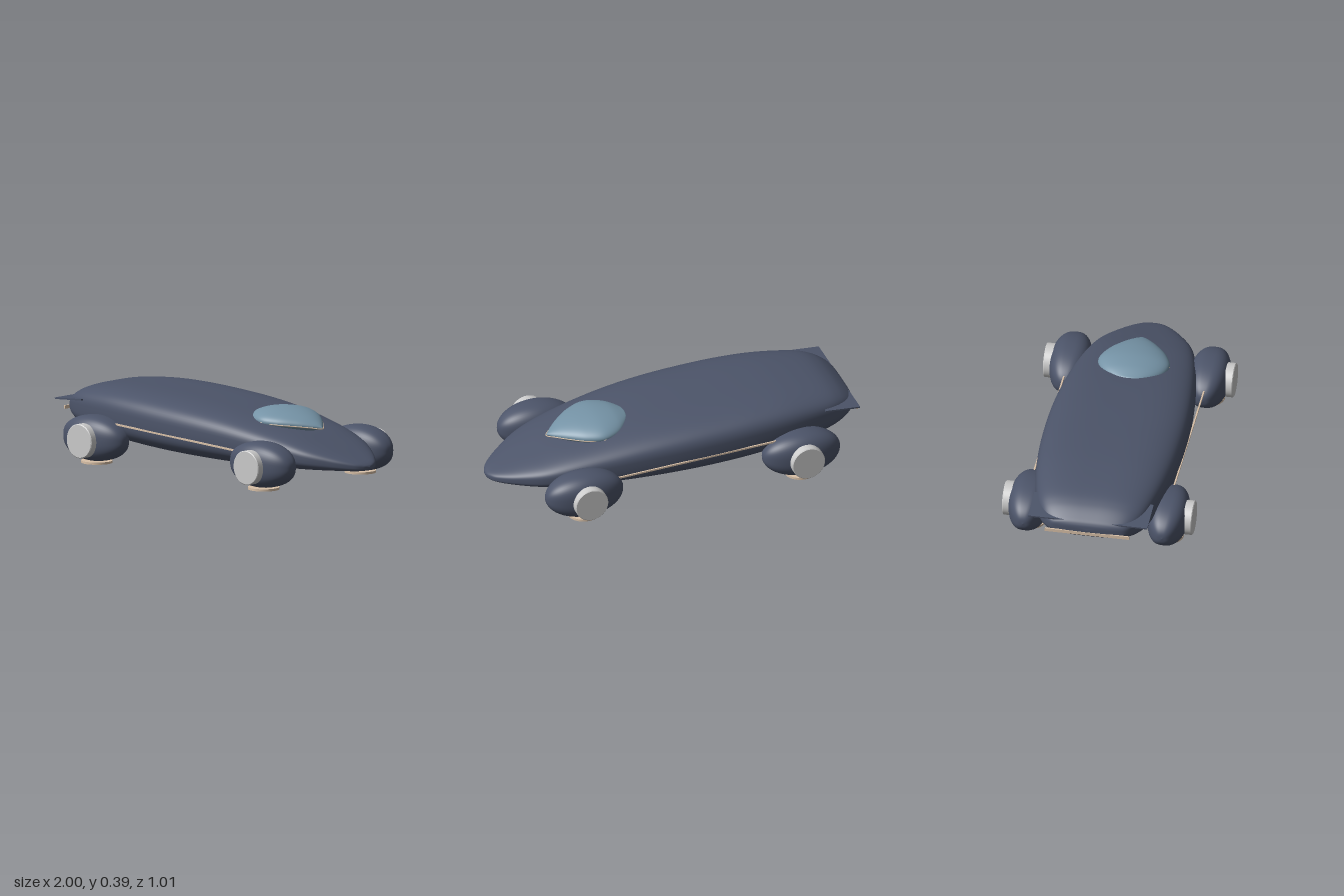
import * as THREE from 'three';

const mat = (name, color, side = THREE.FrontSide) => {
  const m = new THREE.MeshStandardMaterial({ color, side });
  m.name = name;
  return m;
};

// Smooth skin through stations [x, top, bottom, halfWidth] with superellipse sections
function loft(stations, power, steps = 64, around = 64) {
  const spine = new THREE.CatmullRomCurve3(stations.map(s => new THREE.Vector3(s[0], s[1], s[2])), false, 'catmullrom');
  const width = new THREE.CatmullRomCurve3(stations.map(s => new THREE.Vector3(s[3], 0, 0)), false, 'catmullrom');
  const pos = [], idx = [];
  const bend = v => Math.sign(v) * Math.abs(v) ** (2 / power);
  for (let i = 0; i <= steps; i++) {
    const p = spine.getPoint(i / steps), w = Math.max(0, width.getPoint(i / steps).x);
    const mid = (p.y + p.z) / 2, half = (p.y - p.z) / 2;
    for (let j = 0; j < around; j++) {
      const a = j / around * Math.PI * 2;
      pos.push(p.x, mid + half * bend(Math.sin(a)), w * bend(Math.cos(a)));
      if (i === steps) continue;
      const k = (j + 1) % around, r = i * around, n = r + around;
      idx.push(r + j, n + j, r + k, n + j, n + k, r + k);
    }
  }
  const g = new THREE.BufferGeometry();
  g.setAttribute('position', new THREE.Float32BufferAttribute(pos, 3));
  g.setIndex(idx);
  g.computeVertexNormals();
  return g;
}

export function createModel() {
  const car = new THREE.Group();
  car.name = 'streamlinedCar';
  const paint = mat('slatePaint', 0x4c5469);
  const glass = mat('canopyGlass', 0x7593a6);
  const hub = mat('hubGrey', 0xcbcbcb);
  const tan = mat('tanTrim', 0xd9c1a8);

  const add = (name, geometry, material, x = 0, y = 0, z = 0) => {
    const m = new THREE.Mesh(geometry, material);
    m.name = name;
    m.position.set(x, y, z);
    car.add(m);
    return m;
  };

  // Body shell, nose toward +x
  add('body', loft([
    [-1, 0.258, 0.25, 0], [-0.993, 0.285, 0.225, 0.15], [-0.97, 0.31, 0.2, 0.215],
    [-0.9, 0.352, 0.162, 0.268], [-0.8, 0.378, 0.135, 0.306], [-0.6, 0.395, 0.11, 0.346],
    [-0.4, 0.395, 0.095, 0.367], [-0.2, 0.386, 0.085, 0.374], [0, 0.372, 0.08, 0.371],
    [0.2, 0.35, 0.078, 0.356], [0.4, 0.316, 0.08, 0.33], [0.6, 0.272, 0.086, 0.291],
    [0.75, 0.226, 0.092, 0.243], [0.88, 0.181, 0.097, 0.16], [0.96, 0.151, 0.1, 0.088],
    [0.99, 0.135, 0.105, 0.04], [1, 0.122, 0.118, 0]
  ], 3.2, 128, 80), paint);

  // Teardrop canopy
  const drop = [
    [0.22, 0.346, 0.342, 0], [0.235, 0.353, 0.32, 0.07], [0.3, 0.371, 0.27, 0.155],
    [0.39, 0.376, 0.254, 0.19], [0.48, 0.364, 0.254, 0.162], [0.56, 0.342, 0.264, 0.103],
    [0.62, 0.315, 0.276, 0.045], [0.657, 0.291, 0.287, 0]
  ];
  add('canopy', loft(drop, 2), glass);

  // Thin trim around the canopy's pointed end
  const rim = drop.slice(3).map(s => new THREE.Vector3(s[0], (s[1] + s[2]) / 2 - 0.005, s[3]));
  const mirrored = rim.slice(0, -1).reverse().map(v => new THREE.Vector3(v.x, v.y, -v.z));
  add('canopyTrim', new THREE.TubeGeometry(new THREE.CatmullRomCurve3([...rim, ...mirrored]), 60, 0.003, 6), tan);

  // Wheel fairings, hub discs and ground contact pads
  const egg = [];
  for (let i = 0; i <= 12; i++) {
    const a = i / 12 * Math.PI, s = Math.sin(a);
    egg.push([-0.215 * Math.cos(a), 0.121 * s, -0.121 * s, 0.108 * s]);
  }
  const fairing = loft(egg, 2.6, 48, 48);
  const disc = new THREE.LatheGeometry([
    [0, -0.025], [0.091, -0.025], [0.091, -0.025], [0.091, 0.016], [0.091, 0.016],
    [0.087, 0.02], [0.087, 0.02], [0, 0.02]
  ].map(p => new THREE.Vector2(...p)), 40);
  disc.rotateX(Math.PI / 2);
  const pad = new THREE.CylinderGeometry(0.083, 0.083, 0.012, 36);
  for (const [end, x] of [['front', 0.58], ['rear', -0.63]])
    for (const side of [1, -1]) {
      add(end + 'WheelFairing', fairing, paint, x, 0.134, side * 0.37);
      const h = add(end + 'HubDisc', disc, hub, x + 0.003, 0.13, side * 0.485);
      if (side < 0) h.rotation.y = Math.PI;
      add(end + 'TyrePad', pad, tan, x + 0.003, 0.008, side * 0.367);
    }

  // Pinstripes along the flanks
  for (const side of [1, -1]) {
    const s = add('sideStripe', new THREE.BoxGeometry(0.9, 0.009, 0.008), tan, -0.05, 0.202, side * 0.373);
    s.rotation.z = -0.044;
  }

  // Tail plate, whose corners emerge as small fins
  const fin = add('tailFins', new THREE.BoxGeometry(0.19, 0.008, 0.636), paint, -0.885, 0.302, 0);
  fin.rotation.z = 0.07;

  // Rear bumper strip
  add('rearBumper', new THREE.BoxGeometry(0.008, 0.018, 0.45), tan, -0.997, 0.235, 0);

  return car;
}
